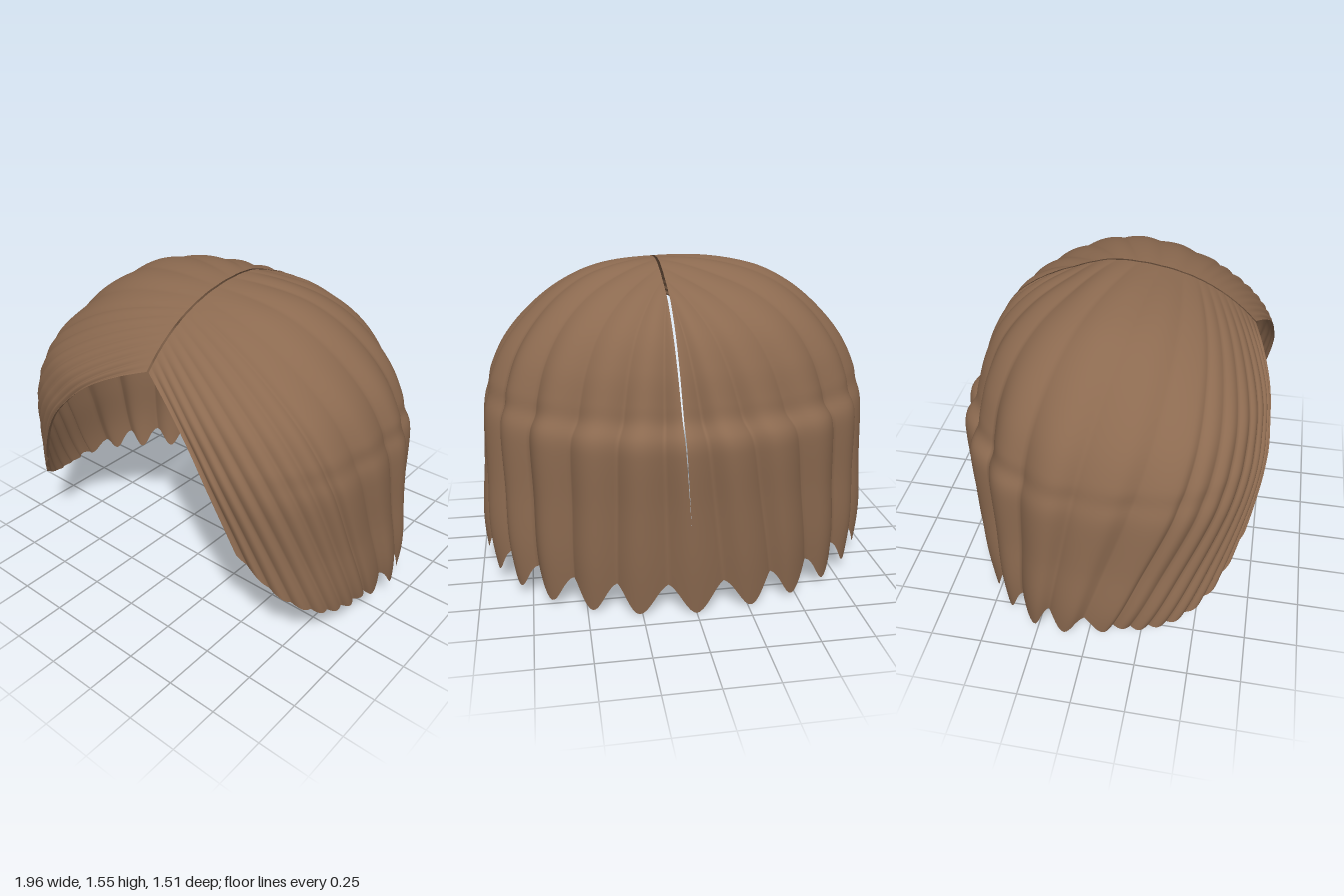
import * as THREE from 'three';

// Shell radii by height: [y, half width, front depth, back depth]
const SHELL = [
  [-0.1, 0.925, 0.73, 0.655], [0.25, 0.96, 0.75, 0.69], [0.55, 0.938, 0.77, 0.708],
  [0.8, 0.927, 0.78, 0.724], [0.87, 0.918, 0.78, 0.712], [0.93, 0.9, 0.778, 0.665],
  [1.0, 0.888, 0.765, 0.648], [1.15, 0.82, 0.725, 0.61], [1.3, 0.70, 0.615, 0.53],
  [1.42, 0.555, 0.47, 0.385], [1.5, 0.38, 0.30, 0.2], [1.545, 0, 0, 0],
];
const TOP = 1.545, LOCKS = 11;
const { smoothstep, lerp } = THREE.MathUtils;
const q = (y) => Math.sqrt(Math.max(0, TOP - y)); // makes the crown round

// Smooth interpolation of one shell column at height y
function radius(y, col) {
  const last = SHELL.length - 1;
  if (y <= SHELL[0][0]) return SHELL[0][col];
  let i = 0;
  while (i < last - 1 && SHELL[i + 1][0] < y) i++;
  const slope = (k) => {
    const a = SHELL[Math.max(0, k - 1)], b = SHELL[Math.min(last, k + 1)];
    return (b[col] - a[col]) / (q(b[0]) - q(a[0]));
  };
  const x0 = q(SHELL[i][0]), h = q(SHELL[i + 1][0]) - x0, t = (q(y) - x0) / h;
  const t2 = t * t, t3 = t2 * t;
  return (2 * t3 - 3 * t2 + 1) * SHELL[i][col] + (t3 - 2 * t2 + t) * h * slope(i)
    + (3 * t2 - 2 * t3) * SHELL[i + 1][col] + (t3 - t2) * h * slope(i + 1);
}

// 1 on the shell, less inside, more outside; elliptical back, squarer front
function shellValue(x, y, z) {
  if (y >= TOP - 1e-5) return 10;
  const rx = Math.max(1e-4, radius(y, 1)), rz = Math.max(1e-4, radius(y, z > 0 ? 2 : 3));
  const n = z > 0 ? lerp(2.9, 2.2, smoothstep(y, 0.9, 1.5)) : 2.05;
  return Math.pow(Math.pow(Math.abs(x) / rx, n) + Math.pow(Math.abs(z) / rz, n), 1 / n);
}

const CENTRE = new THREE.Vector3(0, 0.6, 0);

// Distance from the centre to the shell along a direction
function reach(d) {
  let lo = 0, hi = 2;
  for (let k = 0; k < 26; k++) {
    const m = (lo + hi) / 2;
    if (shellValue(d.x * m, CENTRE.y + d.y * m, d.z * m) < 1) lo = m; else hi = m;
  }
  return lo;
}

const curve = (pts) => new THREE.CatmullRomCurve3(pts.map((p) => new THREE.Vector3(...p)));

// Parting line from forehead over the crown
const parting = curve([
  [1.27, 0.63], [1.34, 0.57], [1.4, 0.5], [1.45, 0.42], [1.485, 0.33], [1.515, 0.23],
  [1.53, 0.12], [1.525, 0.02], [1.515, -0.08], [1.495, -0.18], [1.46, -0.29], [1.42, -0.4],
].map(([y, z]) => [0.083, y, z]));
// Hem from the cheek, round the temple corner, to the middle of the back
const hem = curve([
  [0.62, 0.6, 0.69], [0.75, 0.37, 0.55], [0.87, 0.25, 0.41], [0.93, 0.215, 0.26], [0.96, 0.205, 0.1],
  [0.95, 0.18, -0.09], [0.89, 0.15, -0.25], [0.785, 0.13, -0.39], [0.645, 0.105, -0.5],
  [0.465, 0.09, -0.59], [0.26, 0.085, -0.65], [-0.003, 0.08, -0.68],
]);

// One half of the hair: locks sweep from the parting to the hem
function hairHalf(side) {
  const across = LOCKS * 16, down = 80;
  const pos = [], index = [];
  for (let i = 0; i <= across; i++) {
    const u = i / across, s = u * LOCKS;
    const start = parting.getPoint(u);
    start.x += side * 0.006;
    const end = hem.getPoint(u);
    end.y -= 0.058 * smoothstep(s, 2.6, 6) * Math.cos(2 * Math.PI * s);
    const f = shellValue(end.x, end.y, end.z);
    end.x *= side / f;
    end.z /= f;
    const a = start.sub(CENTRE).normalize(), b = end.sub(CENTRE).normalize();
    const angle = a.angleTo(b);
    const bow = 0.1 * Math.max(0, 1 - s / 4); // lifts the face edge
    // Rounded locks with sharp grooves, finer at the front
    const bulge = Math.abs(Math.cos(Math.PI * s * (s < 4 ? 2 : 1))) - 0.35;
    const depth = lerp(0.018, 0.045, smoothstep(s, 2, 7));
    for (let j = 0; j <= down; j++) {
      const v = j / down;
      const d = a.clone().multiplyScalar(Math.sin((1 - v) * angle))
        .addScaledVector(b, Math.sin(v * angle)).divideScalar(Math.sin(angle));
      d.y += bow * Math.sin(Math.PI * v);
      d.normalize();
      const r = reach(d);
      const y = CENTRE.y + d.y * r;
      const low = 1 - smoothstep(y, 0.82, 1.5);
      const amount = depth * (0.25 + 0.75 * low) * smoothstep(v, -0.05, 0.15);
      const p = d.multiplyScalar(r + bulge * amount).add(CENTRE);
      pos.push(p.x, p.y, p.z);
      if (i < across && j < down) {
        const k = i * (down + 1) + j, n = k + down + 1;
        if (side > 0) index.push(k, k + 1, n, n, k + 1, n + 1);
        else index.push(k, n, k + 1, n, n + 1, k + 1);
      }
    }
  }
  const g = new THREE.BufferGeometry();
  g.setAttribute('position', new THREE.Float32BufferAttribute(pos, 3));
  g.setIndex(index);
  g.computeVertexNormals();
  return g;
}

export function createModel() {
  const model = new THREE.Group();
  model.name = 'hair';
  const brown = new THREE.MeshStandardMaterial({ color: 0x8c6a50, side: THREE.DoubleSide });
  brown.name = 'brown hair';
  for (const [name, side] of [['leftHair', 1], ['rightHair', -1]]) {
    const mesh = new THREE.Mesh(hairHalf(side), brown);
    mesh.name = name;
    model.add(mesh);
  }
  return model;
}
